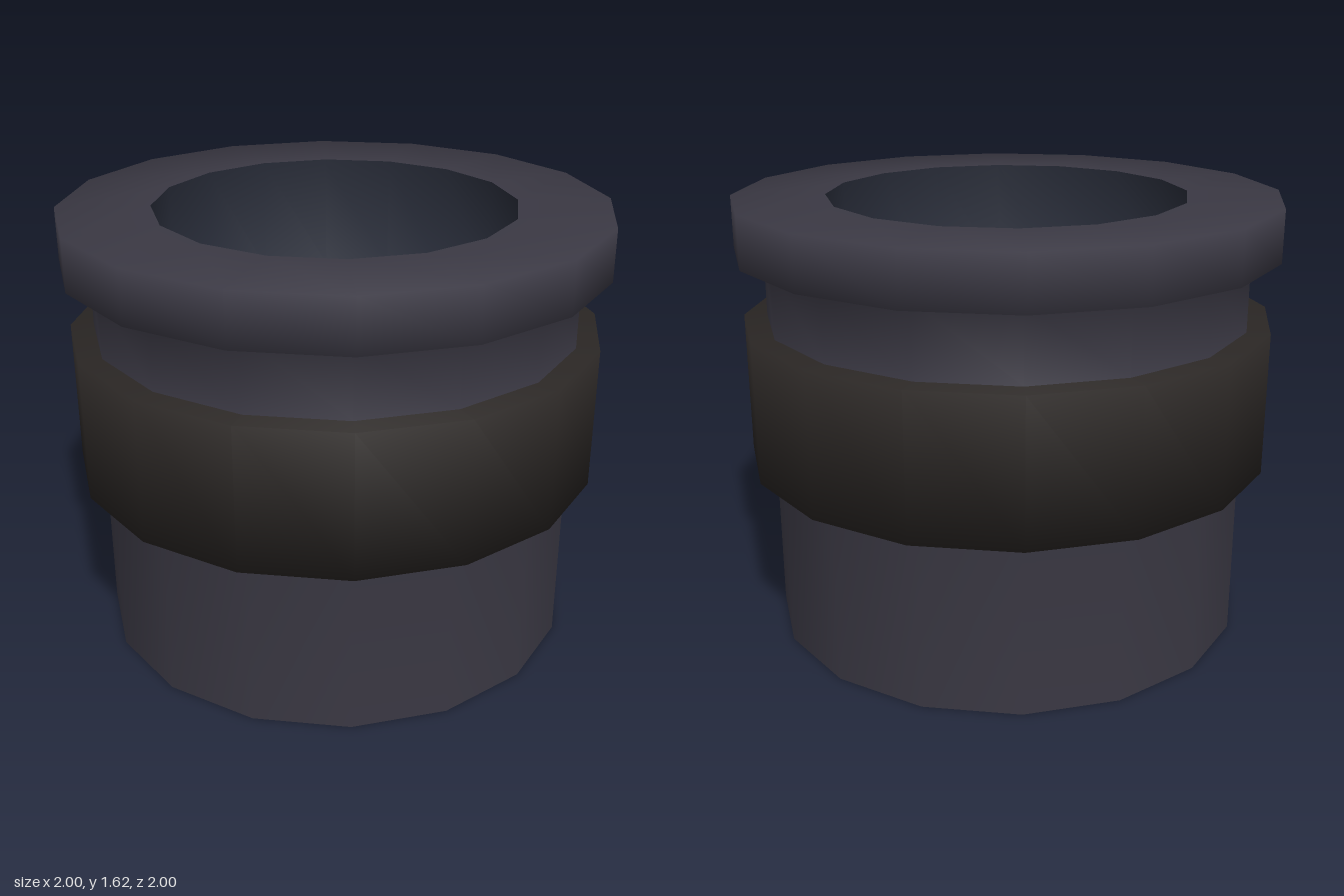
import * as THREE from 'three';

const SIDES = 16;

// Smooth 16-sided turned part from a [radius, height] profile
function turned(name, color, profile, side = THREE.FrontSide) {
  const points = profile.map(([r, y]) => new THREE.Vector2(r, y));
  const material = new THREE.MeshStandardMaterial({ color, side });
  const mesh = new THREE.Mesh(new THREE.LatheGeometry(points, SIDES), material);
  mesh.name = name;
  return mesh;
}

export function createModel() {
  const group = new THREE.Group();
  group.name = 'flangedCollar';

  const metal = 0x3a3843, rubber = 0x2a2624, lining = 0x252935;
  const wall = 0.895, bandLow = 0.65, bandHigh = 1.175, top = 1.62;

  // Thin skirt, open at the bottom; its top edge tucks into the band
  group.add(turned('skirt', metal, [
    [wall, 0], [wall, bandLow], [0.95, bandLow + 0.01],
  ], THREE.DoubleSide));

  // Solid band, which also closes the skirt from above
  group.add(turned('band', rubber, [
    [0, bandLow], [0.98, bandLow], [0.98, bandHigh], [0, bandHigh],
  ]));

  // Neck rising out of the band into the wide top flange
  group.add(turned('neckAndFlange', metal, [
    [0.95, bandHigh - 0.01], [wall, bandHigh], [wall, 1.43],
    [1, 1.43], [1, top], [0.66, top],
  ]));

  // Recessed well with a flat floor
  group.add(turned('well', lining, [
    [0.66, top], [0.66, bandHigh + 0.005], [0, bandHigh + 0.005],
  ]));

  return group;
}
